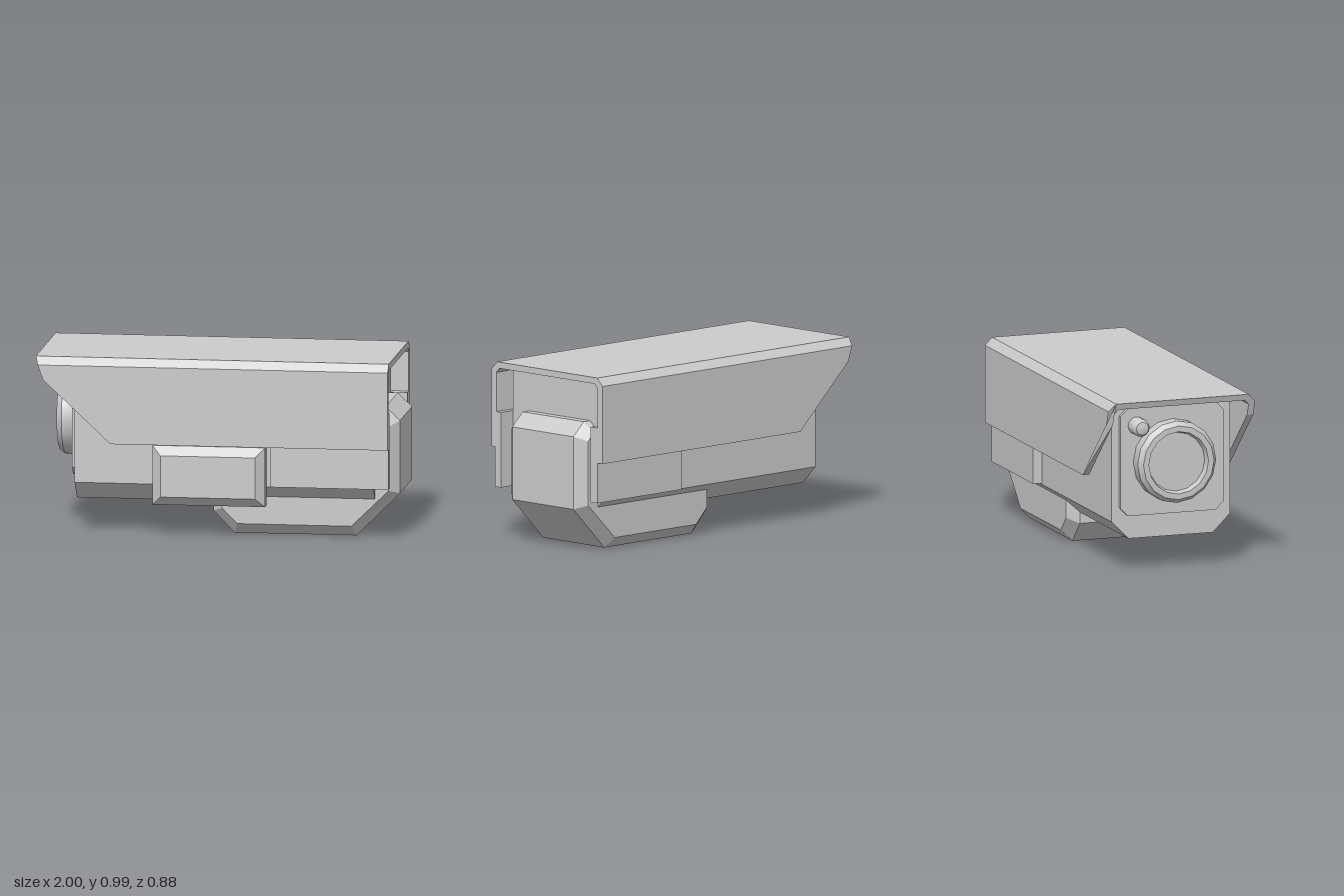
import * as THREE from 'three';
import { toCreasedNormals } from 'three/addons/utils/BufferGeometryUtils.js';

const grey = new THREE.MeshStandardMaterial({ color: 0xcccccc });
grey.name = 'light grey';

function part(name, geometry) {
  const mesh = new THREE.Mesh(geometry, grey);
  mesh.name = name;
  return mesh;
}

const outline = (points) => new THREE.Shape(points.map(([a, b]) => new THREE.Vector2(a, b)));

// Extrudes a [z, y] profile along x
function alongX(profile, x0, x1) {
  const g = new THREE.ExtrudeGeometry(outline(profile.map(([z, y]) => [-z, y])), {
    depth: x1 - x0, bevelEnabled: false,
  });
  return g.rotateY(Math.PI / 2).translate(x0, 0, 0);
}

function box(x0, x1, y0, y1, z0, z1) {
  return new THREE.BoxGeometry(x1 - x0, y1 - y0, z1 - z0)
    .translate((x0 + x1) / 2, (y0 + y1) / 2, (z0 + z1) / 2);
}

// Moves each vertex by a rule, then recomputes flat normals
function reshape(geometry, rule) {
  const g = geometry.index ? geometry.toNonIndexed() : geometry;
  const p = g.attributes.position;
  for (let i = 0; i < p.count; i++) p.setXYZ(i, ...rule(p.getX(i), p.getY(i), p.getZ(i)));
  g.computeVertexNormals();
  return g;
}

// Sunshield: folded sheet with a raked front edge
function sunshield() {
  const sheet = [
    [0.42, 0.51], [0.42, 0.86], [0.42, 0.942], [0.378, 0.985],
    [-0.4, 0.985], [-0.441, 0.942], [-0.441, 0.86], [-0.441, 0.51],
    [-0.403, 0.51], [-0.403, 0.86], [-0.403, 0.925], [-0.38, 0.95],
    [0.36, 0.95], [0.384, 0.925], [0.384, 0.86], [0.384, 0.51],
  ];
  const rake = (y) => (y < 0.86
    ? THREE.MathUtils.mapLinear(y, 0.51, 0.86, -0.58, -0.955)
    : THREE.MathUtils.mapLinear(y, 0.86, 0.985, -0.955, -1));
  return reshape(alongX(sheet, -1, 0.96), (x, y, z) => [x < 0 ? rake(y) : x, y, z]);
}

// Mounting foot: angled block with bevelled sides
function mount() {
  const full = [
    [-0.035, 0.12], [0.08, 0], [0.76, 0], [1, 0.24], [1, 0.645],
    [0.92, 0.72], [0.8, 0.72], [0.8, 0.25], [-0.035, 0.25],
  ];
  const inset = [
    [0.02, 0.145], [0.105, 0.06], [0.738, 0.06], [0.945, 0.262], [0.945, 0.62],
    [0.9, 0.665], [0.8, 0.665], [0.8, 0.25], [0.02, 0.25],
  ];
  const layers = [-0.315, -0.255, 0.22, 0.28];
  const g = new THREE.ExtrudeGeometry(outline(full), { depth: 3, steps: 3, bevelEnabled: false });
  return reshape(g, (x, y, z) => {
    const k = Math.round(z);
    const i = full.findIndex(([a, b]) => Math.hypot(a - x, b - y) < 1e-4);
    const [px, py] = (k === 0 || k === 3) ? inset[i] : full[i];
    return [px, py, layers[k]];
  });
}

// Turns an [r, depth] profile about the x axis, facing -x
function turned(profile, segments) {
  const g = new THREE.LatheGeometry(profile.map(([r, h]) => new THREE.Vector2(r, h)), segments);
  return toCreasedNormals(g.rotateZ(Math.PI / 2), 0.5);
}

export function createModel() {
  const group = new THREE.Group();
  group.name = 'securityCamera';

  // Housing with chamfered lower edges
  group.add(part('housing', alongX([
    [0.345, 0.28], [0.345, 0.952], [-0.35, 0.952], [-0.35, 0.28], [-0.25, 0.18], [0.245, 0.18],
  ], -0.79, 0.87)));

  group.add(part('sunshield', sunshield()));
  group.add(part('mount', mount()));

  // Front bezel plate
  group.add(part('bezel', alongX([
    [0.3, 0.355], [0.3, 0.87], [0.255, 0.915], [-0.26, 0.915],
    [-0.305, 0.87], [-0.305, 0.355], [-0.26, 0.31], [0.255, 0.31],
  ], -0.81, -0.79)));

  // Lens ring with recessed glass, and a small sensor beside it
  const lens = part('lens', turned([
    [0.23, 0.79], [0.23, 0.88], [0.207, 0.91], [0.175, 0.91], [0.165, 0.875], [0, 0.875],
  ], 16));
  lens.position.set(0, 0.61, 0);
  const sensor = part('sensor', turned([
    [0.05, 0.79], [0.05, 0.88], [0.036, 0.905], [0, 0.915],
  ], 14));
  sensor.position.set(0, 0.815, -0.21);
  group.add(lens, sensor);

  // Rear side rails
  group.add(part('leftRail', box(0.305, 0.96, 0.287, 0.706, 0.348, 0.395)));
  group.add(part('rightRail', box(0.305, 0.96, 0.287, 0.706, -0.402, -0.348)));

  // Side latch: flat base with a bevelled cover
  group.add(part('latchBase', box(-0.35, 0.275, 0.175, 0.505, 0.34, 0.395)));
  group.add(part('latchCover', reshape(box(-0.35, 0.275, 0.175, 0.505, 0.395, 0.441), (x, y, z) => (
    z > 0.42 ? [x - Math.sign(x + 0.0375) * 0.05, y - Math.sign(y - 0.34) * 0.05, z] : [x, y, z]
  ))));

  return group;
}
